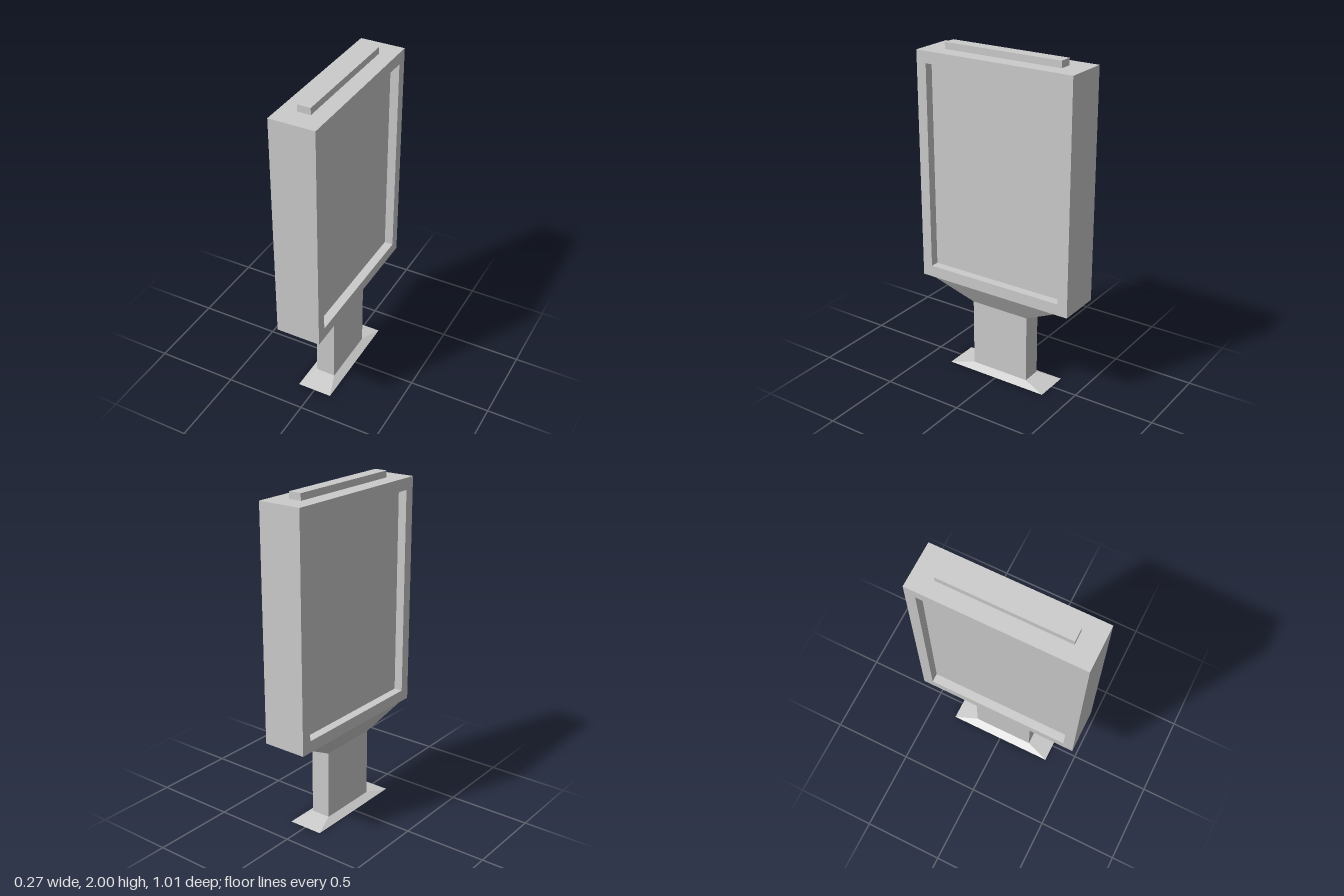
import * as THREE from 'three';

const material = new THREE.MeshStandardMaterial({ color: 0xcccccc, flatShading: true });

function add(group, name, geometry) {
  const mesh = new THREE.Mesh(geometry, material);
  mesh.name = name;
  group.add(mesh);
}

// Block from y0 to y1 with separate half sizes [x, z] at bottom and top
function block(y0, y1, bottom, top = bottom) {
  const geometry = new THREE.BoxGeometry(2, 1, 2);
  const p = geometry.attributes.position;
  for (let i = 0; i < p.count; i++) {
    const upper = p.getY(i) > 0;
    const [hx, hz] = upper ? top : bottom;
    p.setXYZ(i, p.getX(i) * hx, upper ? y1 : y0, p.getZ(i) * hz);
  }
  geometry.computeVertexNormals();
  return geometry;
}

// Rectangle outline, added to a Shape or Path
function rectangle(path, half, y0, y1) {
  path.moveTo(-half, y0);
  path.lineTo(half, y0);
  path.lineTo(half, y1);
  path.lineTo(-half, y1);
  path.closePath();
  return path;
}

export function createModel() {
  const group = new THREE.Group();
  group.name = 'advertisingStand';

  const halfDepth = 0.135;
  const recess = 0.053;
  const foot = [0.06, 0.19];

  // Foot plate, post and flared neck
  add(group, 'footPlate', block(0, 0.025, [0.108, 0.335], foot));
  add(group, 'post', block(0.025, 0.445, foot));
  add(group, 'flaredNeck', block(0.445, 0.575, foot, [halfDepth, 0.42]));

  // Cabinet frame, open on both broad sides
  const outline = rectangle(new THREE.Shape(), 0.506, 0.575, 1.96);
  outline.holes.push(rectangle(new THREE.Path(), 0.443, 0.645, 1.89));
  const frame = new THREE.ExtrudeGeometry(outline, { depth: 2 * halfDepth, bevelEnabled: false });
  frame.translate(0, 0, -halfDepth);
  frame.rotateY(Math.PI / 2);
  add(group, 'cabinetFrame', frame);

  // Display panels, sunk into each broad side
  for (const side of [1, -1]) {
    const panel = new THREE.PlaneGeometry(0.886, 1.245);
    panel.rotateY(side * Math.PI / 2);
    panel.translate(side * (halfDepth - recess), 1.2675, 0);
    add(group, side > 0 ? 'leftDisplay' : 'rightDisplay', panel);
  }

  // Cap rail on the roof
  add(group, 'capRail', block(1.96, 2, [0.039, 0.38]));

  return group;
}
